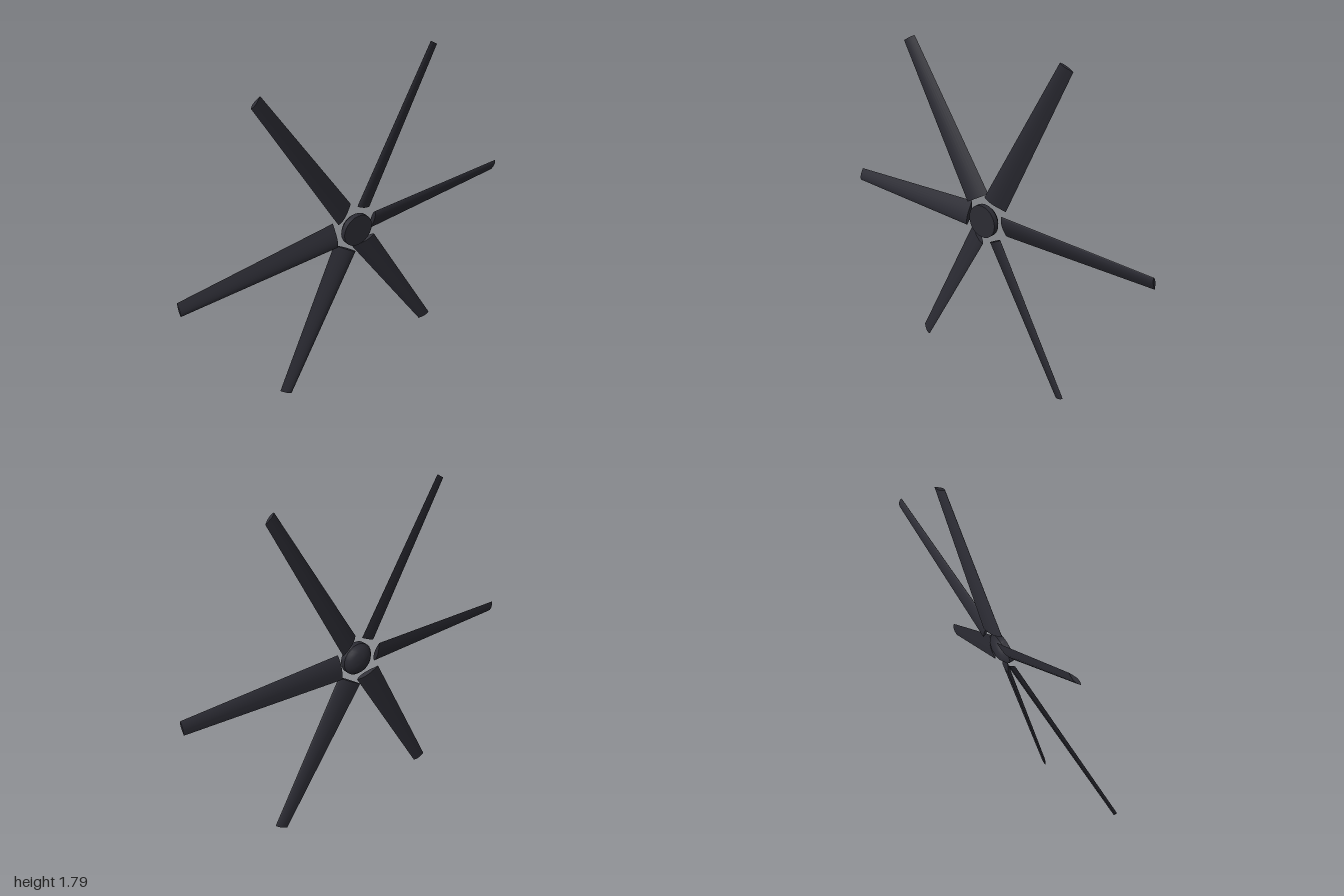
import * as THREE from 'three';
import { toCreasedNormals } from 'three/addons/utils/BufferGeometryUtils.js';

const AXIS_Y = 0.897;

// Lens-shaped section, pitched from its leading edge (front) to its trailing edge (back)
function section(x, width, zLead, zTrail, half, steps = 12) {
  const points = [];
  const add = (u, side) => {
    const bulge = Math.sin(Math.PI * Math.pow(u, 0.75));
    points.push([x, 0.0625 - width * u, zLead + (zTrail - zLead) * u + side * half * bulge]);
  };
  const ease = (i) => (1 - Math.cos((Math.PI * i) / steps)) / 2;
  for (let i = 0; i < steps; i++) add(ease(i), 1);
  for (let i = steps; i > 0; i--) add(ease(i), -1);
  return points;
}

// Tapered blade along +x: straight leading edge, slanted trailing edge
function bladeGeometry() {
  const root = section(0.12, 0.125, 0.019, -0.021, 0.014);
  const tip = section(1, 0.068, 0.018, -0.001, 0.009);
  const n = root.length;
  const index = [];
  for (let i = 0; i < n; i++) {
    const j = (i + 1) % n;
    index.push(i, j, n + i, j, n + j, n + i);
    if (i > 0 && i < n - 1) index.push(0, i + 1, i, n, n + i, n + i + 1);
  }
  const geometry = new THREE.BufferGeometry();
  geometry.setAttribute('position', new THREE.Float32BufferAttribute([...root, ...tip].flat(), 3));
  geometry.setIndex(index);
  return toCreasedNormals(geometry, 0.7);
}

// Flat-fronted hub with a low domed back
function hubGeometry() {
  const profile = [
    [0, -0.034], [0.03, -0.031], [0.056, -0.023], [0.074, -0.01],
    [0.082, 0.002], [0.088, 0.006], [0.088, 0.034], [0, 0.034],
  ].map(([r, y]) => new THREE.Vector2(r, y));
  return toCreasedNormals(new THREE.LatheGeometry(profile, 24).rotateX(Math.PI / 2), 0.6);
}

export function createModel() {
  const charcoal = new THREE.MeshStandardMaterial({ color: 0x2b2b33 });
  charcoal.name = 'charcoal';

  const propeller = new THREE.Group();
  propeller.name = 'propeller';
  propeller.position.y = AXIS_Y;

  const hub = new THREE.Mesh(hubGeometry(), charcoal);
  hub.name = 'hub';
  propeller.add(hub);

  // Six blades around the hub
  const blade = bladeGeometry();
  for (let i = 0; i < 6; i++) {
    const mesh = new THREE.Mesh(blade, charcoal);
    mesh.name = `blade${i + 1}`;
    mesh.rotation.z = (i * Math.PI) / 3;
    propeller.add(mesh);
  }

  const model = new THREE.Group();
  model.name = 'model';
  model.add(propeller);
  return model;
}
